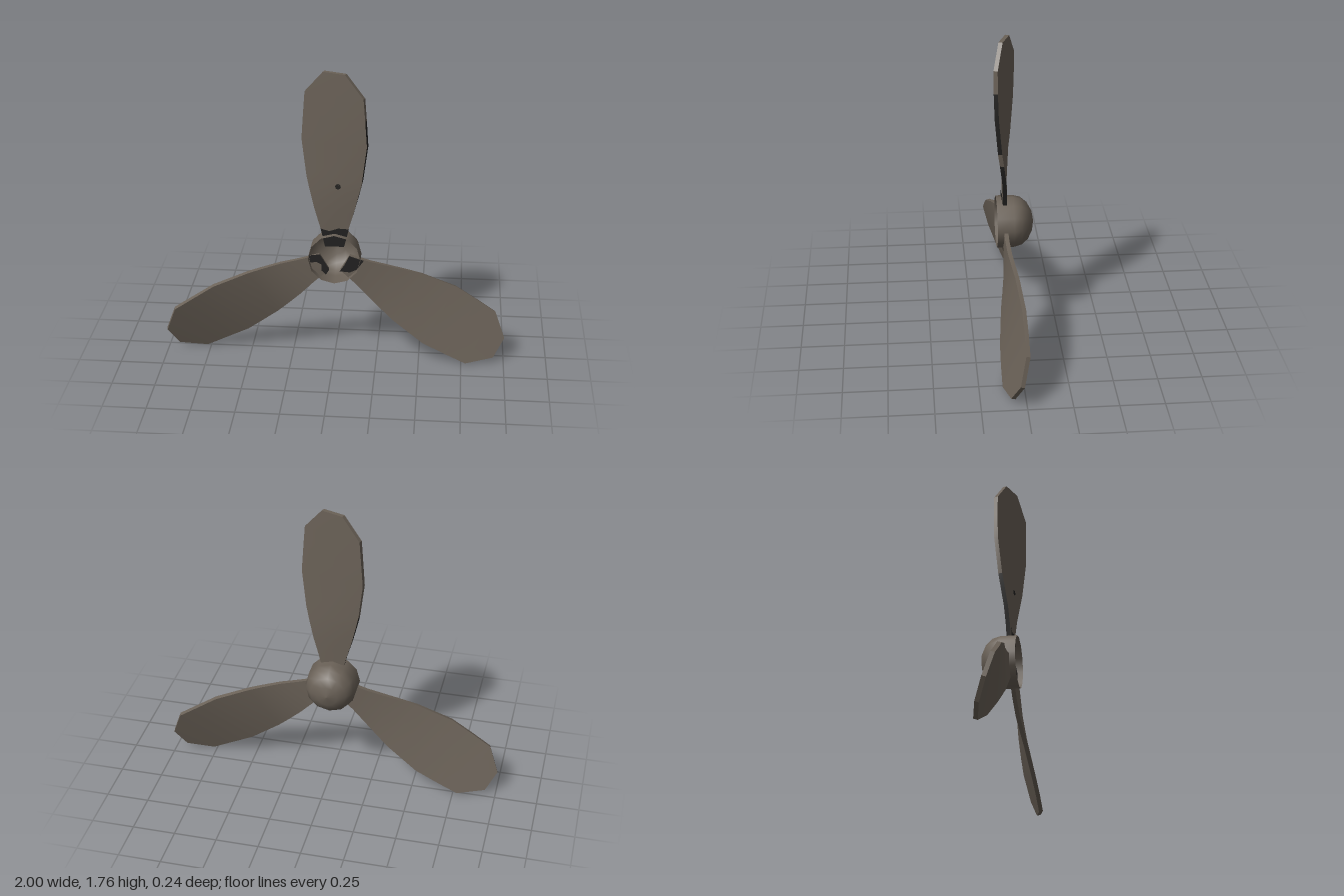
import * as THREE from 'three';
import { toCreasedNormals } from 'three/addons/utils/BufferGeometryUtils.js';

const HUB_Y = 0.643, BLADE_Z = 0.05, HALF_THICK = 0.012;

// blade stations: radius, half width, twist in degrees
const STATIONS = [
  [0.07, 0.055, 0], [0.19, 0.083, 1], [0.3, 0.115, 4], [0.41, 0.142, 9],
  [0.49, 0.16, 12], [0.71, 0.188, 16], [0.86, 0.178, 18], [0.99, 0.168, 19], [1.117, 0.063, 20],
];

// Twisted four-cornered sections joined into a solid; darkEdges lists the stained edge segments
function bladeGeometry(darkEdges) {
  const rings = STATIONS.map(([r, w, deg]) => {
    const a = THREE.MathUtils.degToRad(deg), c = Math.cos(a), s = Math.sin(a);
    const hw = w / c;
    return [[-1, 1], [1, 1], [1, -1], [-1, -1]].map(([u, v]) =>
      [u * hw * c - v * HALF_THICK * s, r, u * hw * s + v * HALF_THICK * c]);
  });
  const pos = [], geo = new THREE.BufferGeometry();
  const quad = (a, b, c, d, material) => {
    geo.addGroup(pos.length / 3, 6, material);
    pos.push(...a, ...b, ...c, ...a, ...c, ...d);
  };
  for (let i = 0; i < rings.length - 1; i++) {
    const p = rings[i], q = rings[i + 1];
    for (let k = 0; k < 4; k++) {
      const n = (k + 1) % 4;
      const dark = (k === 1 && darkEdges.right.includes(i)) || (k === 3 && darkEdges.left.includes(i));
      quad(p[k], p[n], q[n], q[k], dark ? 1 : 0);
    }
  }
  const tip = rings[rings.length - 1], root = rings[0];
  quad(tip[0], tip[1], tip[2], tip[3], 0);
  quad(root[3], root[2], root[1], root[0], 0);
  geo.setAttribute('position', new THREE.Float32BufferAttribute(pos, 3));
  return toCreasedNormals(geo, 0.5);
}

export function createModel() {
  const group = new THREE.Group();
  const metal = new THREE.MeshStandardMaterial({ color: 0x6a6157, side: THREE.DoubleSide });
  metal.name = 'weathered metal';
  const stain = new THREE.MeshStandardMaterial({ color: 0x232221, side: THREE.DoubleSide });
  stain.name = 'dark stain';

  // hollow hub: domed at the back, open at the front
  const profile = [[0, -0.118], [0.06, -0.108], [0.108, -0.083], [0.14, -0.045], [0.152, 0], [0.152, 0.098]]
    .map(([r, z]) => new THREE.Vector2(r, z));
  const hub = new THREE.Mesh(new THREE.LatheGeometry(profile, 12), metal);
  hub.name = 'hub';
  hub.rotation.x = Math.PI / 2;
  hub.position.y = HUB_Y;
  group.add(hub);

  // three twisted blades
  const edges = [
    { right: [0, 1, 2, 4, 5], left: [0, 1, 2, 3] },
    { right: [], left: [0] },
    { right: [], left: [] },
  ];
  ['topBlade', 'rightBlade', 'leftBlade'].forEach((name, i) => {
    const blade = new THREE.Mesh(bladeGeometry(edges[i]), [metal, stain]);
    blade.name = name;
    blade.position.set(0, HUB_Y, BLADE_Z);
    blade.rotation.z = i * Math.PI * 2 / 3;
    group.add(blade);
  });

  // dark patches on the blade roots
  const patches = {
    topRootStain: [[-0.055, 0.713], [0.055, 0.713], [0.083, 0.825], [0.02, 0.828], [-0.03, 0.81], [-0.08, 0.825]],
    leftRootStain: [[-0.15, 0.65], [-0.085, 0.66], [-0.03, 0.565], [-0.05, 0.53], [-0.075, 0.555],
      [-0.075, 0.595], [-0.105, 0.61], [-0.14, 0.605]],
    rightRootStain: [[0.085, 0.655], [0.17, 0.628], [0.13, 0.57], [0.09, 0.55], [0.03, 0.555], [0.06, 0.6]],
  };
  for (const [name, points] of Object.entries(patches)) {
    const shape = new THREE.Shape(points.map(([x, y]) => new THREE.Vector2(x, y)));
    const patch = new THREE.Mesh(new THREE.ShapeGeometry(shape), stain);
    patch.name = name;
    patch.position.z = BLADE_Z + HALF_THICK + 0.004;
    group.add(patch);
  }

  // small spot on the top blade
  const spot = new THREE.Mesh(new THREE.CircleGeometry(0.017, 8), stain);
  spot.name = 'bladeSpot';
  spot.position.set(0.02, 1.09, BLADE_Z + HALF_THICK + 0.008);
  spot.rotation.y = -0.18;
  group.add(spot);

  return group;
}
